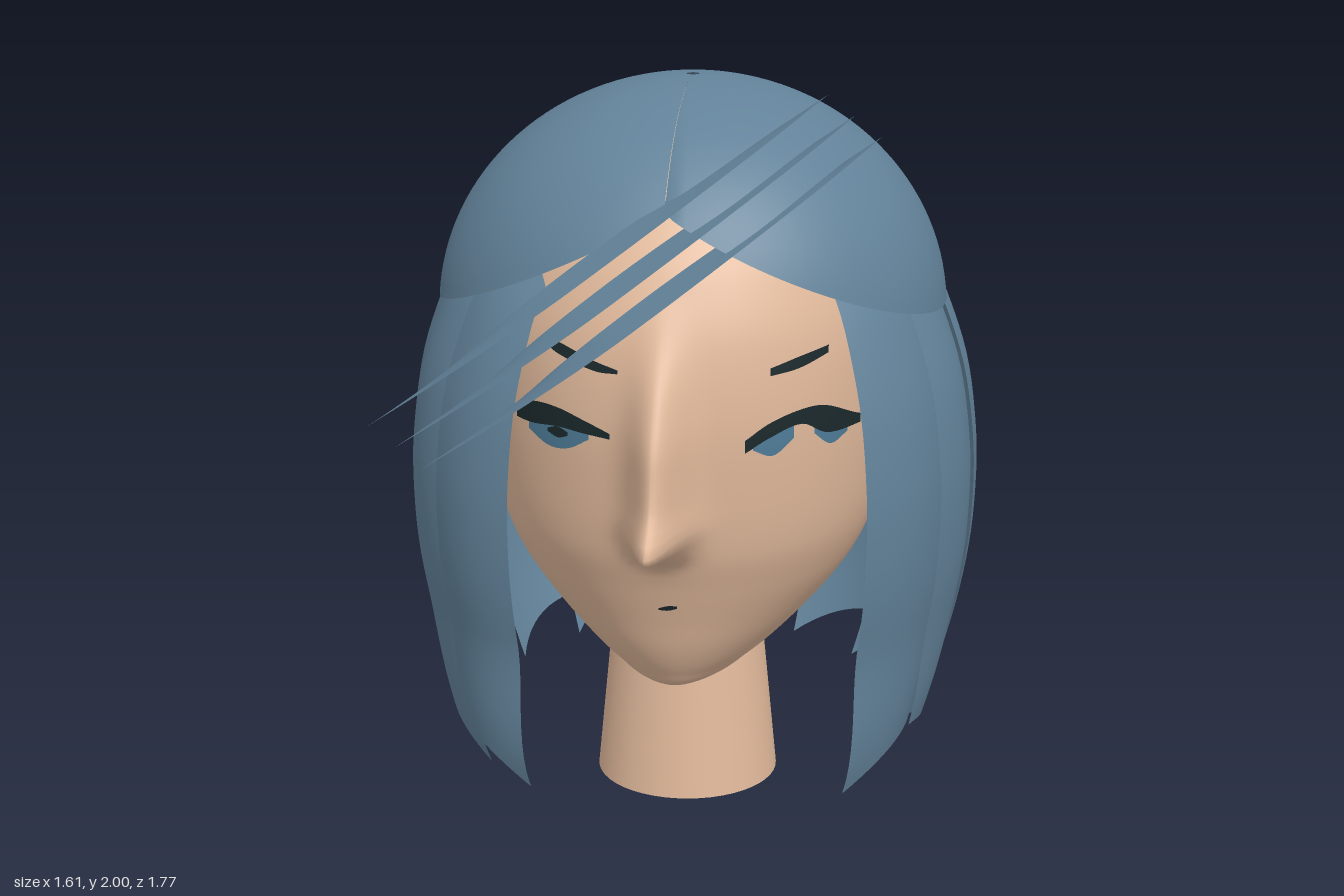
import * as THREE from 'three';

const mat = (name, color, side = THREE.DoubleSide) => {
  const m = new THREE.MeshStandardMaterial({ color, side });
  m.name = name;
  return m;
};

// Surface from a rule: u runs rightwards, v runs downwards, both 0..1
function sheet(cols, rows, point) {
  const pos = [], idx = [];
  for (let i = 0; i <= rows; i++) {
    for (let j = 0; j <= cols; j++) pos.push(...point(j / cols, i / rows));
  }
  for (let i = 0; i < rows; i++) {
    for (let j = 0; j < cols; j++) {
      const a = i * (cols + 1) + j, b = a + 1, c = a + cols + 1, d = c + 1;
      idx.push(a, c, b, b, c, d);
    }
  }
  const g = new THREE.BufferGeometry();
  g.setAttribute('position', new THREE.Float32BufferAttribute(pos, 3));
  g.setIndex(idx);
  g.computeVertexNormals();
  return g;
}

// Smooth lookup in rows of [key, value, value...] with rising keys
function lookup(table, key) {
  const n = table.length - 1;
  let i = 0;
  while (i < n - 1 && key > table[i + 1][0]) i++;
  const a = table[i], b = table[i + 1], h = b[0] - a[0];
  const t = THREE.MathUtils.clamp((key - a[0]) / h, 0, 1);
  const slope = (j, k) => {
    const p = table[Math.max(j - 1, 0)], q = table[Math.min(j + 1, n)];
    return (q[k] - p[k]) / (q[0] - p[0]);
  };
  return a.slice(1).map((v, m) => {
    const k = m + 1, s = t * t * (3 - 2 * t);
    return v + (b[k] - v) * s + h * t * (1 - t) * ((1 - t) * slope(i, k) - t * slope(i + 1, k));
  });
}

// Head sections: [y, half width, front depth, back depth]
const HEAD = [
  [0.36, 0.02, 0.3, 0.02], [0.37, 0.14, 0.38, 0.1], [0.42, 0.23, 0.43, 0.2],
  [0.5, 0.32, 0.475, 0.3], [0.6, 0.41, 0.51, 0.4], [0.7, 0.48, 0.545, 0.47],
  [0.82, 0.53, 0.585, 0.54], [1.0, 0.56, 0.61, 0.6], [1.2, 0.57, 0.62, 0.64],
  [1.4, 0.56, 0.595, 0.64], [1.55, 0.52, 0.54, 0.6], [1.65, 0.47, 0.48, 0.54],
  [1.75, 0.4, 0.4, 0.46], [1.88, 0.23, 0.22, 0.28], [1.97, 0.02, 0.01, 0.06],
];
// Nose: [y, projection]
const NOSE = [
  [0.74, 0], [0.8, 0.02], [0.86, 0.15], [0.9, 0.28], [0.93, 0.262], [0.98, 0.195],
  [1.05, 0.16], [1.15, 0.13], [1.25, 0.085], [1.4, 0.025], [1.52, 0],
];
const nose = (x, y) => lookup(NOSE, y)[0] * Math.exp(-((x / 0.068) ** 2));

function faceZ(x, y) {
  const [w, f] = lookup(HEAD, y);
  return f * Math.sqrt(Math.max(0, 1 - (x / w) ** 2)) + nose(x, y);
}

// Lock radius by height: [y, radius]
const LOCK = [
  [0.08, 0.61], [0.2, 0.66], [0.35, 0.715], [0.5, 0.755], [0.68, 0.785], [0.85, 0.795],
  [1.0, 0.79], [1.2, 0.76], [1.38, 0.7], [1.48, 0.65], [1.6, 0.56],
];

export function createModel() {
  const model = new THREE.Group();
  const skin = mat('skin', 0xe2ba9c);
  const hair = mat('hair', 0x628299);
  const dark = mat('dark lines', 0x1b292c);
  const blue = mat('iris', 0x4f7d99);
  const add = (name, geometry, material, parent = model) => {
    const m = new THREE.Mesh(geometry, material);
    m.name = name;
    parent.add(m);
    return m;
  };
  const group = (name) => {
    const g = new THREE.Group();
    g.name = name;
    model.add(g);
    return g;
  };

  // Neck, open at the bottom
  add('neck', new THREE.CylinderGeometry(0.185, 0.258, 0.75, 48, 1, true), skin).position.set(0, 0.375, 0.065);

  // Head, with columns packed towards the face
  add('head', sheet(120, 100, (u, v) => {
    const s = u * 2 - 1;
    const a = Math.PI * Math.sign(s) * Math.abs(s) ** 1.3;
    const y = 1.165 + 0.805 * Math.cos(Math.PI * v);
    const [w, f, b] = lookup(HEAD, y);
    const x = w * Math.sin(a), c = Math.cos(a);
    return [x, y, c > 0 ? f * c + nose(x, y) : b * c];
  }), skin);

  // Facial details: thin plates following the face, rows of [x, top y, bottom y]
  const face = group('facialDetails');
  const plate = (name, material, rows, lift = 0.006) => {
    const x0 = rows[0][0], x1 = rows[rows.length - 1][0];
    add(name, sheet(24, 4, (u, v) => {
      const x = x0 + (x1 - x0) * u;
      const [t, b] = lookup(rows, x);
      const y = t + (b - t) * v;
      return [x, y, faceZ(x, y) + lift];
    }), material, face);
  };
  plate('rightBrow', dark, [[-0.32, 1.385, 1.375], [-0.28, 1.385, 1.355], [-0.17, 1.35, 1.325], [-0.11, 1.335, 1.325]]);
  plate('leftBrow', dark, [[0.28, 1.335, 1.315], [0.35, 1.355, 1.325], [0.42, 1.37, 1.35]]);
  plate('rightUpperLash', dark, [[-0.41, 1.18, 1.15], [-0.36, 1.21, 1.15], [-0.28, 1.212, 1.16], [-0.2, 1.19, 1.155], [-0.13, 1.165, 1.15]], 0.008);
  plate('rightIris', blue, [[-0.37, 1.155, 1.13], [-0.31, 1.17, 1.1], [-0.25, 1.17, 1.105], [-0.19, 1.16, 1.14]]);
  plate('rightPupil', dark, [[-0.31, 1.15, 1.14], [-0.28, 1.16, 1.13], [-0.25, 1.15, 1.14]], 0.009);
  plate('leftUpperLash', dark, [[0.22, 1.15, 1.115], [0.28, 1.19, 1.15], [0.36, 1.215, 1.175], [0.42, 1.21, 1.135], [0.5, 1.155, 1.13]], 0.008);
  plate('leftIrisInner', blue, [[0.24, 1.14, 1.12], [0.29, 1.16, 1.1], [0.34, 1.18, 1.14]]);
  plate('leftIrisOuter', blue, [[0.39, 1.17, 1.14], [0.43, 1.15, 1.1], [0.47, 1.14, 1.12]]);
  plate('mouth', dark, [[-0.015, 0.657, 0.651], [0.01, 0.665, 0.65], [0.035, 0.665, 0.657]]);

  // Hair cap: dome with a raised front hairline, a front parting and a pinhole crown
  add('hairCap', sheet(128, 32, (u, v) => {
    const a = u * Math.PI * 2, s = Math.sin(a), c = Math.cos(a);
    const edge = 1.385 + (c > 0 ? 0.345 * (1 - Math.abs(s)) : 0);
    const t = THREE.MathUtils.lerp(0.025, Math.acos((edge - 1.35) / 0.65), v);
    const r = Math.sin(t) * (u === 0 ? 0.975 : 1);
    return [0.71 * s * r, 1.35 + 0.65 * Math.cos(t), (c > 0 ? 0.7 : 0.71) * c * r - 0.05];
  }), hair);

  // Side and back locks: overlapping curved panels with slanted tips
  const locks = group('hairLocks');
  const count = 13, start = 42, step = 22;
  for (let k = 0; k < count; k++) {
    const mid = THREE.MathUtils.degToRad(start + step * (k + 0.5));
    const lift = 0.04 * Math.max(0, -Math.cos(mid));
    const wide = k < count - 1 ? step + 5 : step;
    add('lock' + (k + 1), sheet(12, 32, (u, v) => {
      const slant = k === 0 ? (1 - u) ** 2 : u ** 2;
      const tip = 0.225 + lift - 0.12 * slant;
      const y = THREE.MathUtils.lerp(1.6, tip, v);
      const a = THREE.MathUtils.degToRad(start + step * k + wide * u);
      const flare = 0.12 * Math.max(0, Math.cos(a)) * THREE.MathUtils.smoothstep(0.55 - y, 0, 0.45);
      const r = lookup(LOCK, y)[0] + flare + 0.008 - 0.022 * u + 0.014 * Math.sin(Math.PI * u);
      return [r * Math.sin(a), y, r * Math.cos(a) - 0.08];
    }), hair, locks);
  }

  // Swept fringe: three bowed crescents in a slanting plane, edges given as x, z
  const curve = (pts) => new THREE.CatmullRomCurve3(pts.map(([x, z]) => new THREE.Vector3(x, 0, z)));
  const outer = curve([[0.39, 0.18], [0.26, 0.38], [0.06, 0.58], [-0.12, 0.72], [-0.25, 0.785], [-0.42, 0.785], [-0.6, 0.73], [-0.77, 0.635]]);
  const inner = curve([[0.29, 0.17], [0.15, 0.34], [0, 0.47], [-0.15, 0.59], [-0.28, 0.68], [-0.38, 0.7], [-0.46, 0.675], [-0.54, 0.635]]);
  const fringe = group('fringe');
  for (let k = 0; k < 3; k++) {
    add('fringeStrand' + (k + 1), sheet(40, 4, (u, v) => {
      const p = outer.getPoint(u).lerp(inner.getPoint(u), v);
      const bow = Math.sin(Math.PI * u) * (0.012 + 0.045 * v);
      return [p.x + 0.072 * k, 1.99 - 0.71 * (0.39 - p.x) + bow - 0.055 * k, p.z];
    }), hair, fringe);
  }

  return model;
}
